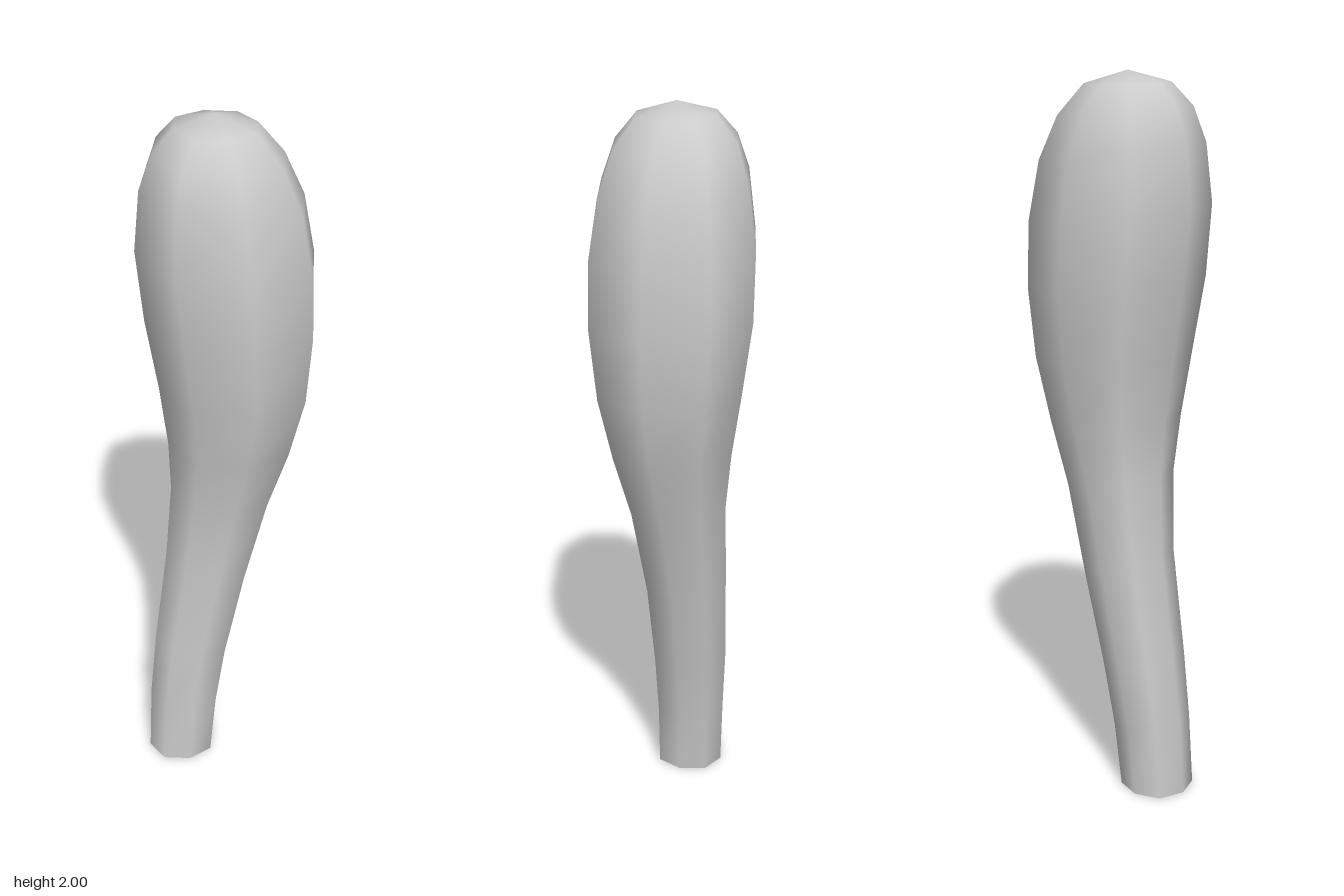
import * as THREE from 'three';

const SIDES = 8;

// Cross-sections from the foot up: [left edge x, y, right edge x, y, front z, back z]
const SECTIONS = [
  [-0.245, 0.0, -0.05, 0.0, 0.095, -0.10],
  [-0.235, 0.21, -0.03, 0.18, 0.092, -0.11],
  [-0.215, 0.40, 0.0, 0.36, 0.094, -0.125],
  [-0.175, 0.70, 0.06, 0.61, 0.098, -0.14],
  [-0.16, 0.92, 0.125, 0.87, 0.125, -0.15],
  [-0.167, 1.07, 0.182, 1.05, 0.165, -0.173],
  [-0.19, 1.25, 0.225, 1.23, 0.203, -0.203],
  [-0.225, 1.46, 0.24, 1.42, 0.228, -0.228],
  [-0.245, 1.66, 0.235, 1.60, 0.228, -0.228],
  [-0.23, 1.82, 0.205, 1.76, 0.205, -0.205],
  [-0.195, 1.91, 0.15, 1.88, 0.17, -0.17],
  [-0.14, 1.97, 0.08, 1.965, 0.11, -0.11],
];
const TIP = [-0.03, 2.0, 0];

// Skin of tilted eight-sided rings, closed at the tip and open at the foot
function bulbGeometry() {
  const positions = [], index = [];
  for (const [xl, yl, xr, yr, zf, zb] of SECTIONS) {
    for (let i = 0; i < SIDES; i++) {
      const a = (i / SIDES) * Math.PI * 2;
      const k = i % 2 ? 1.045 : 1; // diagonals are slightly fuller
      const c = Math.cos(a) * k, s = Math.sin(a) * k;
      positions.push(
        (xl + xr) / 2 + c * (xr - xl) / 2,
        (yl + yr) / 2 + c * (yr - yl) / 2,
        (zf + zb) / 2 + s * (zf - zb) / 2
      );
    }
  }
  positions.push(...TIP);
  const tip = SECTIONS.length * SIDES;
  for (let r = 0; r < SECTIONS.length; r++) {
    for (let i = 0; i < SIDES; i++) {
      const a = r * SIDES + i, b = r * SIDES + (i + 1) % SIDES;
      if (r === SECTIONS.length - 1) index.push(a, tip, b);
      else index.push(a, a + SIDES, b, b, a + SIDES, b + SIDES);
    }
  }
  const geometry = new THREE.BufferGeometry();
  geometry.setAttribute('position', new THREE.Float32BufferAttribute(positions, 3));
  geometry.setIndex(index);
  geometry.computeVertexNormals();
  return geometry;
}

export function createModel() {
  const group = new THREE.Group();
  group.name = 'stalkedBulb';
  const material = new THREE.MeshStandardMaterial({ color: 0xcccccc, side: THREE.DoubleSide });
  const bulb = new THREE.Mesh(bulbGeometry(), material);
  bulb.name = 'stalkAndBulb';
  group.add(bulb);
  return group;
}
